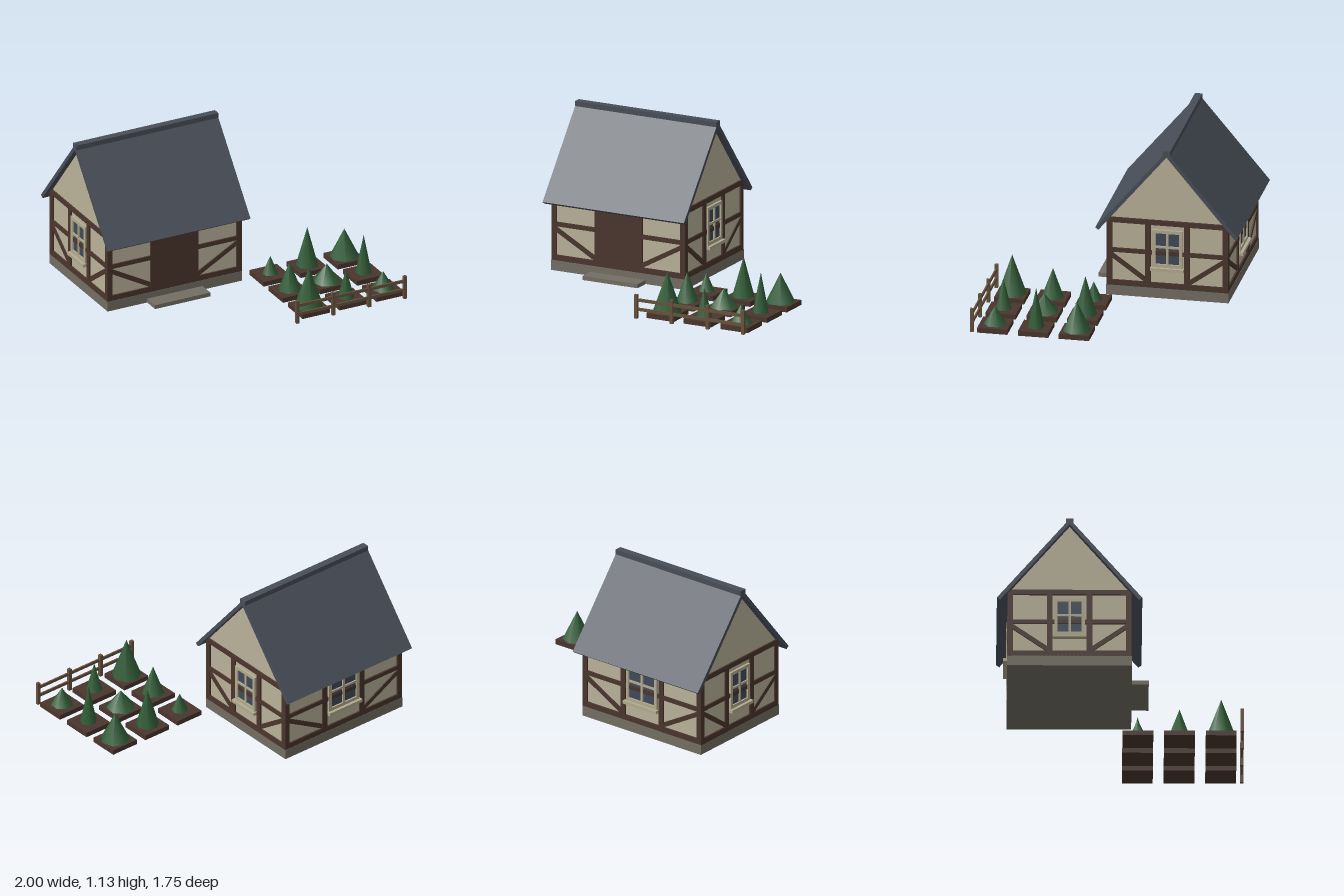
import * as THREE from 'three';

const mat = (name, color) => {
  const m = new THREE.MeshStandardMaterial({ color });
  m.name = name;
  return m;
};
const M = {
  plaster: mat('plaster', 0xb9b199),
  timber: mat('timber', 0x4a352d),
  stone: mat('stone', 0x736e63),
  roof: mat('slate', 0x484e58),
  frame: mat('windowFrame', 0xb3ab8f),
  glass: mat('glass', 0x414a59),
  leaf: mat('foliage', 0x315d38),
  wood: mat('fenceWood', 0x67513c),
};

function add(parent, name, geo, material, x = 0, y = 0, z = 0) {
  const mesh = new THREE.Mesh(geo, material);
  mesh.name = name;
  mesh.position.set(x, y, z);
  parent.add(mesh);
  return mesh;
}

// box given by its limits on each axis
function box(parent, name, material, [x0, x1], [y0, y1], [z0, z1]) {
  return add(parent, name, new THREE.BoxGeometry(x1 - x0, y1 - y0, z1 - z0), material,
    (x0 + x1) / 2, (y0 + y1) / 2, (z0 + z1) / 2);
}

// extrude a side profile [depth, height] along the house length
function alongX(points, length) {
  const shape = new THREE.Shape(points.map(([a, b]) => new THREE.Vector2(a, b)));
  return new THREE.ExtrudeGeometry(shape, { depth: length, bevelEnabled: false })
    .translate(0, 0, -length / 2).rotateY(Math.PI / 2);
}

const HX = 0.535, HZ = 0.438;     // half length and half depth of the house
const RAIL = [0.325, 0.357];

// window centred in a wall whose outer face is at z = d
function addWindow(wall, half, d) {
  const w = new THREE.Group();
  w.name = 'window';
  wall.add(w);
  const y0 = 0.235, y1 = 0.517, t = 0.024;
  box(w, 'glass', M.glass, [-half + t, half - t], [y0 + t, y1 - t], [d - 0.014, d - 0.006]);
  for (const s of [-1, 1]) {
    const c = s * (half - t / 2);
    box(w, 'frameSide', M.frame, [c - t / 2, c + t / 2], [y0, y1], [d - 0.015, d + 0.006]);
  }
  box(w, 'frameTop', M.frame, [-half, half], [y1 - t, y1], [d - 0.015, d + 0.006]);
  box(w, 'frameBottom', M.frame, [-half, half], [y0, y0 + t], [d - 0.015, d + 0.006]);
  box(w, 'mullion', M.frame, [-0.009, 0.009], [y0, y1], [d - 0.015, d + 0.004]);
  box(w, 'crossBar', M.frame, [-half, half], [0.38, 0.396], [d - 0.015, d + 0.004]);
  box(w, 'windowSill', M.frame, [-half - 0.012, half + 0.012], [0.212, 0.235], [d - 0.015, d + 0.028]);
}

// timber framing of one wall, facing local +z
function timberWall(name, half, d, bay, angle, withDoor) {
  const wall = new THREE.Group();
  wall.name = name;
  wall.rotation.y = angle;
  const depth = [d - 0.03, d];
  box(wall, 'sillBeam', M.timber, [-half, half], [0.073, 0.115], depth);
  box(wall, 'middleRail', M.timber, [-half, half], RAIL, depth);
  box(wall, 'topBeam', M.timber, [-half, half], [0.55, 0.588], depth);
  for (const s of [-1, 1]) {
    for (const c of [half - 0.02, bay + 0.02])
      box(wall, 'post', M.timber, [s * c - 0.02, s * c + 0.02], [0.075, 0.586], depth);
    // diagonal brace, high at the corner and low at the inner post
    const xo = half - 0.04, xi = bay + 0.04, dx = xo - xi, dy = 0.17;
    const brace = add(wall, 'brace', new THREE.BoxGeometry(Math.hypot(dx, dy) + 0.03, 0.033, 0.026),
      M.timber, s * (xo + xi) / 2, 0.216, d - 0.015);
    brace.rotation.z = s * Math.atan2(dy, dx);
  }
  if (withDoor) box(wall, 'door', M.timber, [-bay, bay], [0.075, 0.57], depth);
  else addWindow(wall, bay - 0.012, d);
  return wall;
}

function makeHouse() {
  const house = new THREE.Group();
  house.name = 'house';
  house.position.set(-0.435, 0, -0.36);

  box(house, 'foundation', M.stone, [-HX, HX], [0, 0.075], [-HZ - 0.002, HZ + 0.002]);
  box(house, 'doorStep', M.stone, [-0.22, 0.22], [0, 0.03], [HZ, 0.56]);

  // plaster body with gables
  const e = HZ - 0.012;
  add(house, 'plasterWalls', alongX([[-e, 0.07], [e, 0.07], [e, 0.578], [0, 1.09], [-e, 0.578]],
    2 * (HX - 0.012)), M.plaster);

  house.add(
    timberWall('frontWall', HX, HZ, 0.15, 0, true),
    timberWall('backWall', HX, HZ, 0.15, Math.PI, false),
    timberWall('leftWall', HZ, HX, 0.12, Math.PI / 2, false),
    timberWall('rightWall', HZ, HX, 0.12, -Math.PI / 2, false));

  // pitched roof and ridge cap
  add(house, 'roof', alongX([[0, 1.125], [-0.513, 0.513], [-0.49, 0.496], [0, 1.083],
    [0.49, 0.496], [0.513, 0.513]], 1.13), M.roof);
  box(house, 'ridgeCap', M.roof, [-0.565, 0.565], [1.085, 1.13], [-0.027, 0.027]);
  return house;
}

function makeGarden() {
  const garden = new THREE.Group();
  garden.name = 'garden';
  const radii = [0.06, 0.082, 0.105], tops = [0.17, 0.25, 0.328];
  for (let r = 0; r < 3; r++) {
    for (let c = 0; c < 3; c++) {
      const x = 0.3 + c * 0.295, z = 0.128 + r * 0.294;
      box(garden, 'plantBed', M.timber, [x - 0.109, x + 0.109], [0, 0.036], [z - 0.109, z + 0.109]);
      const h = tops[(r - c + 3) % 3 === 0 ? 0 : (r - c + 3) % 3] - 0.034;
      const bush = add(garden, 'bush', new THREE.ConeGeometry(radii[(r + c) % 3], h, 7),
        M.leaf, x, 0.034 + h / 2, z);
      bush.rotation.y = (r * 3 + c) * 0.7;
    }
  }
  return garden;
}

function makeFence() {
  const fence = new THREE.Group();
  fence.name = 'fence';
  for (let i = 0; i < 4; i++) {
    const x = 0.13 + i * 0.285;
    box(fence, 'fencePost', M.wood, [x - 0.012, x + 0.012], [0, 0.175], [0.852, 0.876]);
  }
  for (const y of [0.068, 0.136])
    box(fence, 'fenceRail', M.wood, [0.13, 0.985], [y - 0.011, y + 0.011], [0.858, 0.87]);
  return fence;
}

export function createModel() {
  const model = new THREE.Group();
  model.name = 'cottageWithGarden';
  model.add(makeHouse(), makeGarden(), makeFence());
  return model;
}
